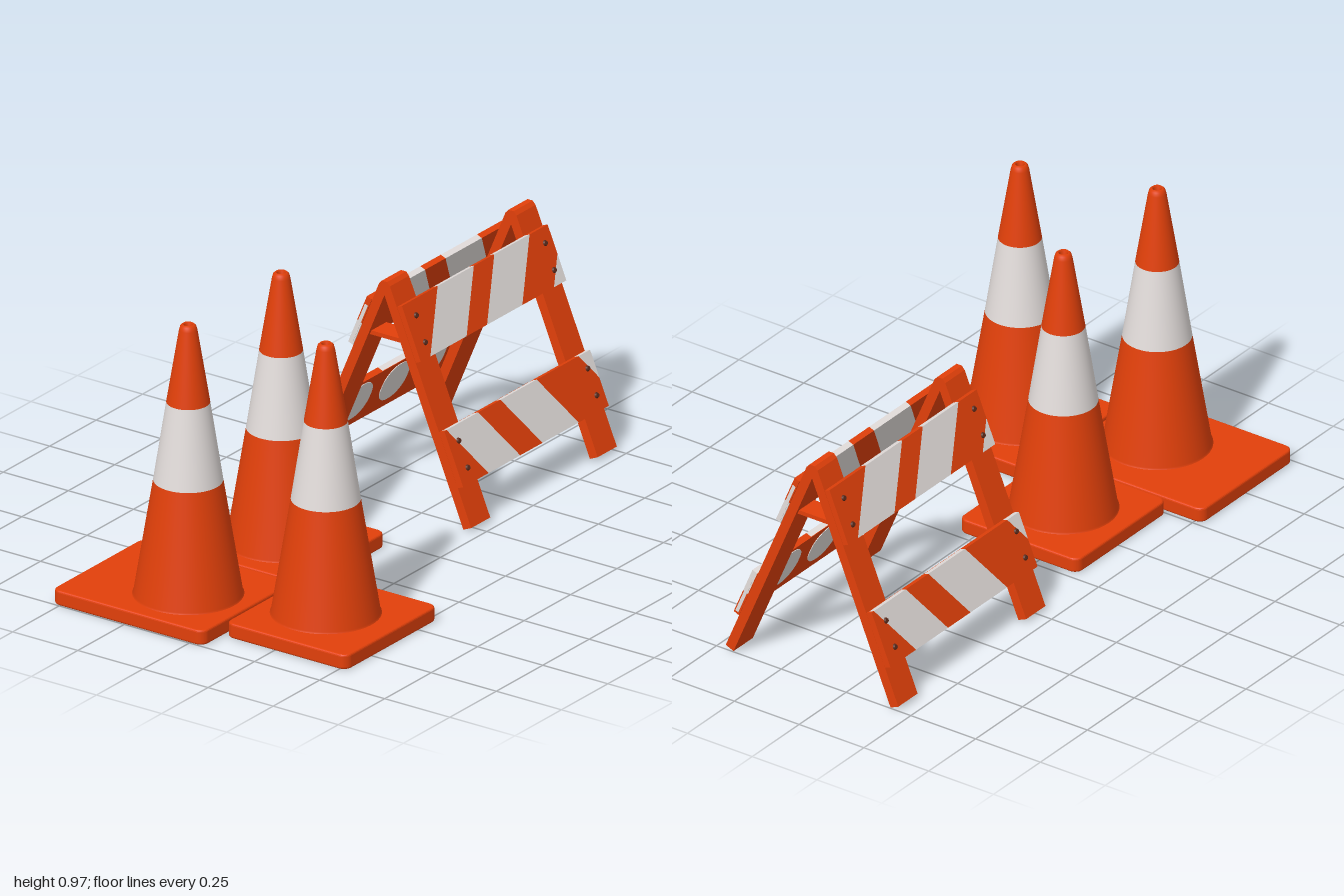
import * as THREE from 'three';

const orange = new THREE.MeshStandardMaterial({ color: 0xe2400a });
orange.name = 'safety orange';
const white = new THREE.MeshStandardMaterial({ color: 0xe4dedc });
white.name = 'reflective white';
const dark = new THREE.MeshStandardMaterial({ color: 0x5a2a1a });
dark.name = 'dark bolt';

function add(parent, name, geometry, material, x = 0, y = 0, z = 0) {
  const mesh = new THREE.Mesh(geometry, material);
  mesh.name = name;
  mesh.position.set(x, y, z);
  parent.add(mesh);
  return mesh;
}

const vecs = (pts) => pts.map(([x, y]) => new THREE.Vector2(x, y));
const lathe = (pts) => new THREE.LatheGeometry(vecs(pts), 48);

// Rounded rectangle centred on (cx, cy)
function roundedRect(Type, cx, cy, w, h, r) {
  const s = new Type();
  const x = w / 2 - r, y = h / 2 - r;
  s.absarc(cx + x, cy + y, r, 0, Math.PI / 2);
  s.absarc(cx - x, cy + y, r, Math.PI / 2, Math.PI);
  s.absarc(cx - x, cy - y, r, Math.PI, Math.PI * 1.5);
  s.absarc(cx + x, cy - y, r, Math.PI * 1.5, Math.PI * 2);
  s.closePath();
  return s;
}

// Lining radius at a height, and the height where its two colours meet
const SPLIT_Y = 0.1;
const liningRadius = (y) => 0.16 - (y - 0.03) * 0.139;

// Slant the colour edge of the lining so it rises towards -x
function slantSplit(geo, tilt) {
  const p = geo.attributes.position;
  for (let i = 0; i < p.count; i++) {
    if (Math.abs(p.getY(i) - SPLIT_Y) > 1e-4) continue;
    const r = Math.hypot(p.getX(i), p.getZ(i));
    const y = Math.max(0.032, 0.045 - tilt * p.getX(i) / r);
    const k = liningRadius(y) / r;
    p.setXYZ(i, p.getX(i) * k, y, p.getZ(i) * k);
  }
  return geo;
}

// Hollow cone on a recessed base; the base rectangle is given in world x and z
function makeCone(name, x, z, [x0, x1, z0, z1], tilt) {
  const cone = new THREE.Group();
  cone.name = name;
  cone.position.set(x, 0, z);

  add(cone, 'coneLower', lathe([[0.178, 0.05], [0.172, 0.058], [0.11, 0.44]]), orange);
  add(cone, 'coneBand', lathe([[0.11, 0.44], [0.069, 0.705]]), white);
  add(cone, 'coneTip', lathe([[0.069, 0.705], [0.029, 0.95], [0.025, 0.964], [0.018, 0.97],
    [0.012, 0.965], [0.011, 0.94]]), orange);
  const split = [liningRadius(SPLIT_Y), SPLIT_Y];
  add(cone, 'coneLining', slantSplit(lathe([[0.011, 0.94], [0.062, 0.705], [0.103, 0.44], split]), tilt), white);
  add(cone, 'coneLiningRim', slantSplit(lathe([split, [0.16, 0.03]]), tilt), orange);

  const cx = (x0 + x1) / 2 - x, cy = z - (z0 + z1) / 2;
  const w = x1 - x0, d = z1 - z0;

  // Raised outer lip with softened edges
  const lip = roundedRect(THREE.Shape, cx, cy, w, d, 0.03);
  lip.holes.push(roundedRect(THREE.Path, cx, cy, w - 0.06, d - 0.06, 0.02));
  const b = 0.007;
  const lipGeo = new THREE.ExtrudeGeometry(lip, {
    depth: 0.05 - 2 * b, bevelSize: b, bevelThickness: b, bevelOffset: -b, bevelSegments: 3, curveSegments: 6,
  });
  lipGeo.rotateX(-Math.PI / 2);
  add(cone, 'baseLip', lipGeo, orange, 0, 0.003 + b, 0);

  // Thin plate around the cone opening
  const plate = roundedRect(THREE.Shape, cx, cy, w - 0.03, d - 0.03, 0.02);
  const hole = new THREE.Path();
  hole.absarc(0, 0, 0.16, 0, Math.PI * 2);
  plate.holes.push(hole);
  const plateGeo = new THREE.ExtrudeGeometry(plate, { depth: 0.023, bevelEnabled: false, curveSegments: 24 });
  plateGeo.rotateX(-Math.PI / 2);
  add(cone, 'basePlate', plateGeo, orange, 0, 0.03, 0);
  return cone;
}

const HALF = 0.392, BOARD_H = 0.187, BOARD_T = 0.02;

// Trim a polygon at the right end of the board
function clipRight(pts) {
  const out = [];
  pts.forEach((p, i) => {
    const q = pts[(i + 1) % pts.length];
    if (p[0] <= HALF) out.push(p);
    if ((p[0] <= HALF) !== (q[0] <= HALF)) {
      const t = (HALF - p[0]) / (q[0] - p[0]);
      out.push([HALF, p[1] + t * (q[1] - p[1])]);
    }
  });
  return out;
}

// Board split into slanted stripes; flip = -1 slants them the other way
function makeBoard(name, cuts, lean, flip) {
  const board = new THREE.Group();
  board.name = name;
  const h = BOARD_H / 2;
  const edges = [[-HALF, -HALF], ...cuts.map((c) => [c, c + lean]), [1, 1]];
  for (let i = 0; i < edges.length - 1; i++) {
    const [a, b] = [edges[i], edges[i + 1]];
    const pts = clipRight([[a[0], -h], [b[0], -h], [b[1], h], [a[1], h]]);
    const shape = new THREE.Shape(vecs(pts.map(([x, y]) => [x, y * flip])));
    const geo = new THREE.ExtrudeGeometry(shape, { depth: BOARD_T, bevelEnabled: false });
    add(board, 'boardStripe', geo, i % 2 ? white : orange, 0, 0, -BOARD_T / 2);
  }
  // Pale strip on the board end
  add(board, 'endStrip', new THREE.BoxGeometry(0.002, 0.15, 0.012), white, HALF, -0.01, 0);
  // Low bolt heads over the posts
  for (const x of [-0.342, 0.352]) {
    for (const y of [-0.045, 0.045]) {
      const bolt = add(board, 'bolt', new THREE.CylinderGeometry(0.007, 0.01, 0.006, 12), dark,
        x, y, BOARD_T / 2 + 0.003);
      bolt.rotation.x = Math.PI / 2;
    }
  }
  return board;
}

// Orange inner face with three rounded pale patches
function addPatchedBack(board) {
  add(board, 'innerFace', new THREE.BoxGeometry(HALF * 2, BOARD_H, 0.002), orange, 0, 0, -BOARD_T / 2 - 0.001);
  const patch = roundedRect(THREE.Shape, 0, 0, 0.14, 0.145, 0.065);
  const geo = new THREE.ExtrudeGeometry(patch, { depth: 0.002, bevelEnabled: false, curveSegments: 8 });
  for (const x of [-0.2, 0, 0.2]) add(board, 'innerPatch', geo, white, x, 0.01, -BOARD_T / 2 - 0.004);
}

function makeBarricade() {
  const barricade = new THREE.Group();
  barricade.name = 'barricade';
  barricade.position.set(0.607, 0, -0.118);

  // A-shaped end frames with a cross brace
  const frame = new THREE.Shape(vecs([[0.303, 0.005], [0.333, 0.018], [0.021, 0.763], [0.01, 0.775],
    [-0.01, 0.775], [-0.021, 0.763], [-0.333, 0.018], [-0.303, 0.005], [0, 0.728]]));
  const frameGeo = new THREE.ExtrudeGeometry(frame, { depth: 0.103, bevelEnabled: false });
  frameGeo.translate(0, 0, -0.0515);
  frameGeo.rotateY(-Math.PI / 2);
  for (const side of [-1, 1]) {
    add(barricade, 'endFrame', frameGeo, orange, side * 0.3405, 0, 0);
    add(barricade, 'crossBrace', new THREE.BoxGeometry(0.08, 0.014, 0.17), orange, side * 0.3405, 0.582, 0);
  }

  // Striped boards, the same on both faces
  for (const turn of [0, Math.PI]) {
    const face = new THREE.Group();
    face.name = turn ? 'rearBoards' : 'frontBoards';
    face.rotation.y = turn;
    const upper = makeBoard('upperBoard', [-0.34, -0.145, -0.035, 0.155, 0.325], 0.14, 1);
    upper.position.set(0, 0.618, 0.094);
    const lower = makeBoard('lowerBoard', [-0.38, -0.21, -0.09, 0.105, 0.33], 0.125, -1);
    lower.position.set(0, 0.232, 0.257);
    addPatchedBack(lower);
    for (const board of [upper, lower]) {
      board.rotation.x = -0.397;
      face.add(board);
    }
    barricade.add(face);
  }
  return barricade;
}

export function createModel() {
  const model = new THREE.Group();
  model.name = 'roadworkSet';
  model.add(
    makeCone('rearRightCone', -0.775, -0.165, [-1, -0.51, -0.53, 0.052], 0.08),
    makeCone('middleCone', -0.275, -0.165, [-0.505, -0.025, -0.4, 0.06], 0),
    makeCone('frontCone', -0.647, 0.272, [-0.895, -0.4, 0.062, 0.527], 0.08),
    makeBarricade(),
  );
  return model;
}
